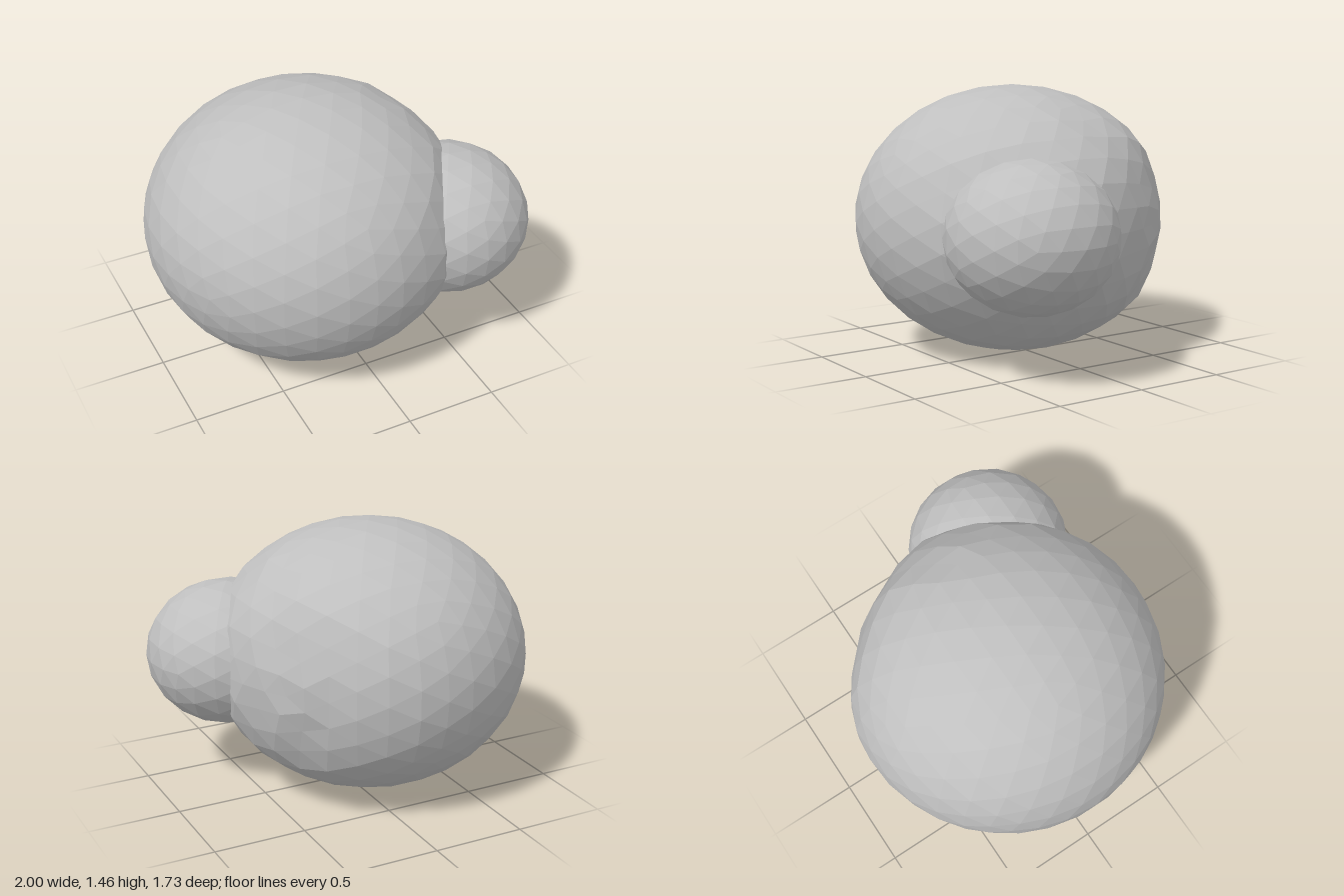
import * as THREE from 'three';

const gray = new THREE.MeshStandardMaterial({ color: 0xbfbfbf, flatShading: true });
gray.name = 'plain gray';

// Faceted ellipsoid; shape(n) returns a radius factor for each unit direction.
function lobe(name, detail, radii, center, shape) {
  const geometry = new THREE.IcosahedronGeometry(1, detail);
  const pos = geometry.attributes.position;
  const n = new THREE.Vector3();
  for (let i = 0; i < pos.count; i++) {
    n.fromBufferAttribute(pos, i).normalize();
    const r = shape(n);
    pos.setXYZ(i, n.x * radii[0] * r, n.y * radii[1] * r, n.z * radii[2] * r);
  }
  geometry.computeVertexNormals();
  const mesh = new THREE.Mesh(geometry, gray);
  mesh.name = name;
  mesh.position.set(...center);
  return mesh;
}

// Gentle uneven ripple, depending only on direction so facets stay joined.
const ripple = (n) => Math.sin(n.x * 17 + n.y * 9) * Math.sin(n.z * 15 - n.y * 13);

export function createModel() {
  const group = new THREE.Group();
  group.name = 'twoLobedBlob';

  // Large body, rougher on its right half and slightly flattened at the back corner
  const flatSide = new THREE.Vector3(0.8, 0, -0.6);
  group.add(lobe('mainBody', 5, [0.867, 0.732, 0.866], [-0.133, 0.733, 0], (n) => {
    const rough = THREE.MathUtils.smoothstep(n.x, 0.15, 0.6);
    const flat = THREE.MathUtils.smoothstep(n.dot(flatSide), 0.75, 1);
    return 1 - 0.055 * flat + 0.01 * rough * ripple(n);
  }));

  // Smaller lobe growing from the front left
  group.add(lobe('sideLobe', 3, [0.45, 0.397, 0.45], [0.55, 0.735, 0.345], () => 1));

  return group;
}
